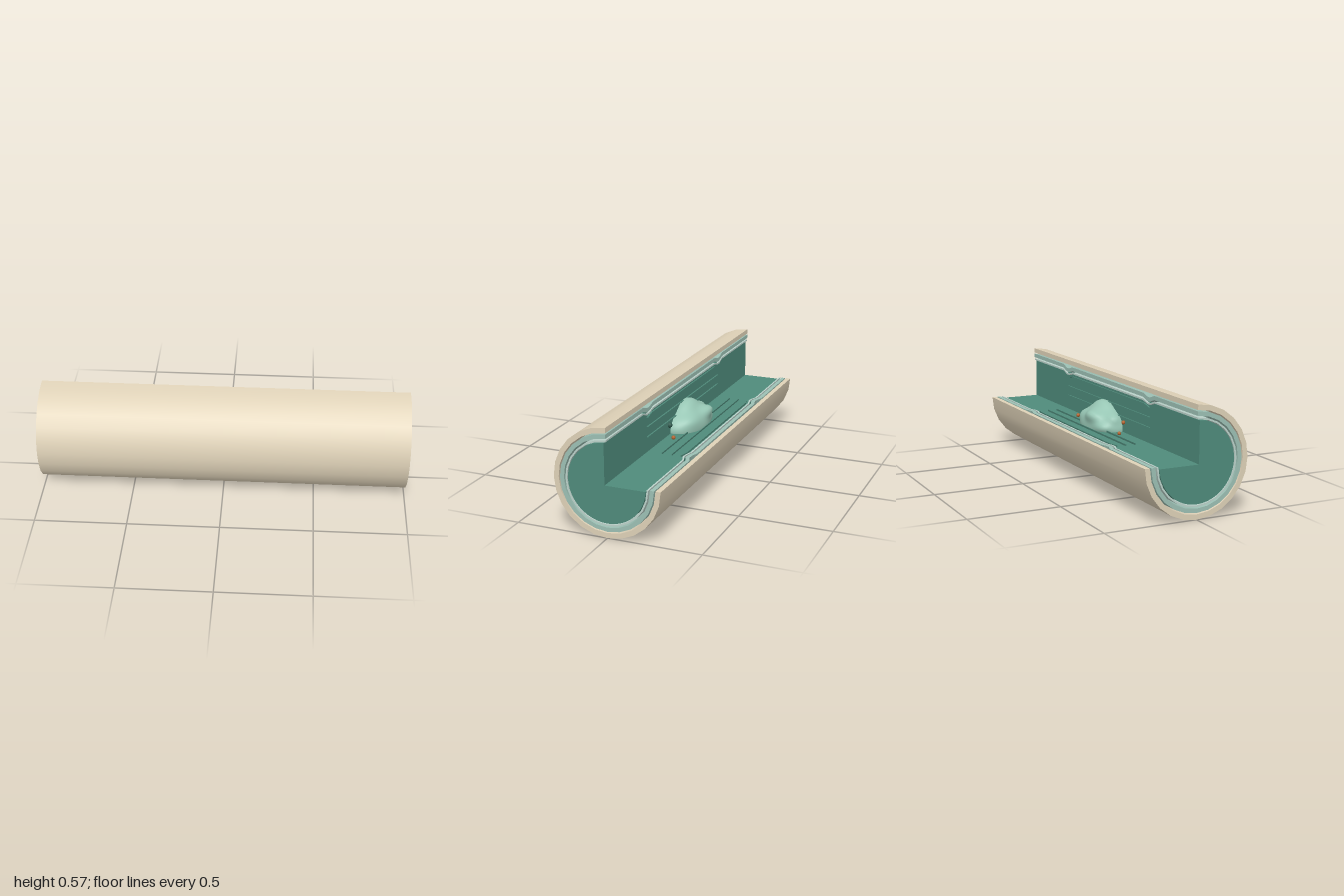
import * as THREE from 'three';
import { mergeGeometries, mergeVertices, toCreasedNormals } from 'three/addons/utils/BufferGeometryUtils.js';

const AXIS_Y = 0.286; // height of the tube's axis
const COLORS = { sheath: 0xdfd2b8, layer: 0x9cc0b4, liner: 0xbcd3cb, core: 0x4f8b7b, mass: 0x97c6b4, dark: 0x2f5a4e, orange: 0xb5622c };

function addMesh(group, name, geometry, color) {
  const material = new THREE.MeshStandardMaterial({ color, side: THREE.DoubleSide });
  const mesh = new THREE.Mesh(geometry, material);
  mesh.name = name;
  group.add(mesh);
  return mesh;
}

// Three-quarter shell along x; stations are [x, outer radius], the upper back quarter is open.
function shellGeometry(stations, thickness) {
  const outer = stations.map(([x, r]) => new THREE.Vector2(r, x));
  const inner = stations.map(([x, r]) => new THREE.Vector2(r - thickness, x)).reverse();
  const loop = [...outer, ...inner];
  const start = Math.PI * 1.5;
  const wall = new THREE.LatheGeometry([...loop, loop[0].clone()], 18, start, Math.PI * 1.5);
  const caps = [start, Math.PI * 3].map((phi) =>
    new THREE.ShapeGeometry(new THREE.Shape(loop)).rotateY(phi - Math.PI / 2));
  const parts = [toCreasedNormals(wall, 0.6), ...caps.map((c) => c.toNonIndexed())];
  return mergeGeometries(parts).rotateZ(-Math.PI / 2);
}

// Stations for a layer pinched inward at x = -0.5 and x = 0.5
function pinched(endRadius, pinchRadius, midRadius) {
  const half = [[0.44, midRadius], [0.485, pinchRadius], [0.515, pinchRadius], [0.56, endRadius], [1, endRadius]];
  return [...half.map(([x, r]) => [-x, r]).reverse(), ...half];
}

// Solid core with a square-cornered quarter removed
function coreGeometry(radius, inset) {
  const a = Math.asin(inset / radius);
  const shape = new THREE.Shape();
  shape.absarc(0, 0, radius, Math.PI / 2 + a, Math.PI * 2 - a, false);
  shape.lineTo(-inset, -inset);
  shape.closePath();
  const geometry = new THREE.ExtrudeGeometry(shape, { depth: 2, bevelEnabled: false, curveSegments: 18 });
  geometry.translate(0, 0, -1).rotateY(Math.PI / 2);
  return toCreasedNormals(geometry, 0.6);
}

// Ellipsoid swollen by a few soft lobes
function lumpyGeometry() {
  const lobes = [
    [0, 1, -0.1, 0.38, 0.16],
    [-0.25, 0.6, -0.75, 0.33, 0.08],
    [-0.75, 0.6, -0.2, 0.15, 0.08],
    [0.55, 0.5, -0.65, 0.1, 0.12],
    [-0.7, 0.1, -0.7, 0.12, 0.08],
  ];
  let geometry = new THREE.IcosahedronGeometry(1, 10);
  geometry.deleteAttribute('normal');
  geometry.deleteAttribute('uv');
  geometry = mergeVertices(geometry, 1e-4);
  const position = geometry.attributes.position;
  const n = new THREE.Vector3();
  const lobe = new THREE.Vector3();
  for (let i = 0; i < position.count; i++) {
    n.fromBufferAttribute(position, i);
    let scale = 1;
    for (const [x, y, z, amount, spread] of lobes) {
      scale += amount * Math.exp(-n.distanceToSquared(lobe.set(x, y, z).normalize()) / spread);
    }
    position.setXYZ(i, n.x * 0.19 * scale, n.y * 0.1 * scale, n.z * 0.128 * scale);
  }
  geometry.computeVertexNormals();
  return geometry;
}

export function createModel() {
  const model = new THREE.Group();
  model.name = 'cutawayTube';
  const tube = new THREE.Group();
  tube.name = 'tube';
  tube.position.y = AXIS_Y;
  model.add(tube);

  // Concentric wall layers
  addMesh(tube, 'outerSheath', shellGeometry([[-1, 0.286], [1, 0.286]], 0.027), COLORS.sheath);
  addMesh(tube, 'middleLayer', shellGeometry(pinched(0.252, 0.236, 0.249), 0.022), COLORS.layer);
  addMesh(tube, 'innerLiner', shellGeometry(pinched(0.222, 0.206, 0.218), 0.009), COLORS.liner);

  // Core and the thin sleeves embedded in it
  addMesh(tube, 'core', coreGeometry(0.208, 0.01), COLORS.core);
  const bent = [[-0.5, 0.183], [-0.45, 0.195], [0.45, 0.195], [0.5, 0.183]];
  addMesh(tube, 'outerSleeve', shellGeometry(bent, 0.004), COLORS.core);
  for (const [name, radius] of [['middleSleeve', 0.132], ['innerSleeve', 0.077]]) {
    addMesh(tube, name, shellGeometry([[-0.5, radius], [0.5, radius]], 0.004), COLORS.core);
  }

  // Lumpy mass in the middle of the core
  addMesh(tube, 'centralMass', lumpyGeometry(), COLORS.mass);

  // Small beads around the mass
  const beads = [
    ['leftFloorBead', 0.27, 0.001, -0.042, 0.011, COLORS.orange],
    ['rightFloorBead', -0.26, 0.001, -0.047, 0.01, COLORS.orange],
    ['rightWallBead', -0.21, 0.046, 0.003, 0.011, COLORS.orange],
    ['leftWallBead', 0.21, 0.046, 0.006, 0.015, COLORS.dark],
  ];
  for (const [name, x, y, z, r, color] of beads) {
    addMesh(tube, name, new THREE.SphereGeometry(r, 10, 8), color).position.set(x, y, z);
  }
  return model;
}
